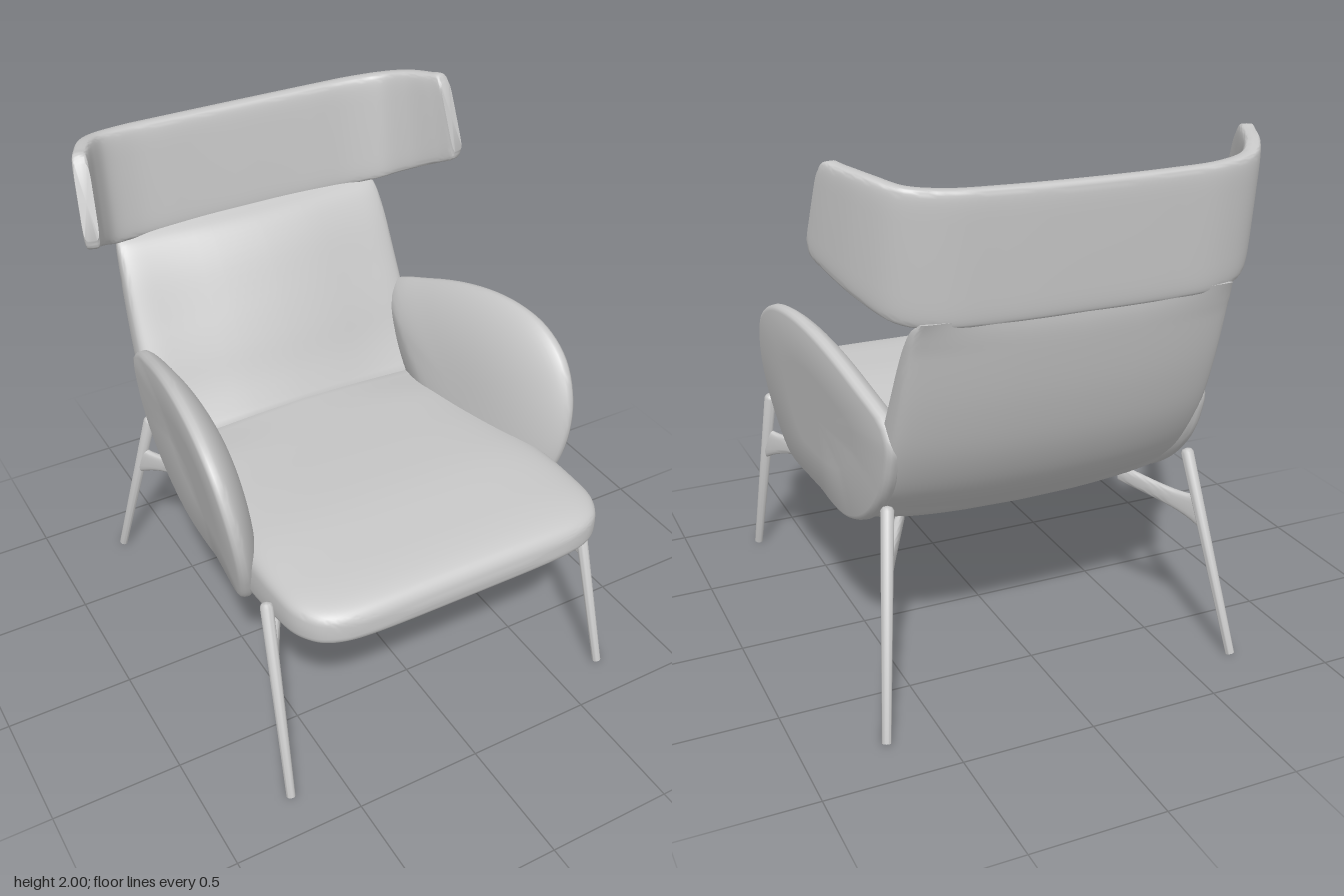
import * as THREE from 'three';
import { toCreasedNormals } from 'three/addons/utils/BufferGeometryUtils.js';

const V = (x, y, z) => new THREE.Vector3(x, y, z);

// Skin a list of equal-length rings, close both ends and face outwards.
function loft(rings, crease = 0.8) {
  const n = rings[0].length;
  const pts = rings.flat();
  const idx = [];
  for (let i = 0; i < rings.length - 1; i++) {
    for (let j = 0; j < n; j++) {
      const a = i * n + j, b = i * n + (j + 1) % n;
      idx.push(a, b, a + n, b, b + n, a + n);
    }
  }
  [0, rings.length - 1].forEach((r, end) => {
    const c = pts.length;
    pts.push(rings[r].reduce((s, p) => s.add(p), V(0, 0, 0)).divideScalar(n));
    for (let j = 0; j < n; j++) {
      const a = r * n + j, b = r * n + (j + 1) % n;
      if (end) idx.push(a, b, c); else idx.push(b, a, c);
    }
  });
  let volume = 0;
  for (let i = 0; i < idx.length; i += 3) {
    volume += pts[idx[i]].dot(pts[idx[i + 1]].clone().cross(pts[idx[i + 2]]));
  }
  if (volume < 0) idx.reverse();
  const g = new THREE.BufferGeometry().setFromPoints(pts);
  g.setIndex(idx);
  return toCreasedNormals(g, crease);
}

// Rounded-rectangle ring around c, spanned by half axes a and b.
function ring(c, a, b, power, n = 40) {
  const se = (v) => Math.sign(v) * Math.pow(Math.abs(v), 2 / power);
  return Array.from({ length: n }, (_, i) => {
    const t = (i / n) * Math.PI * 2;
    return c.clone().addScaledVector(a, se(Math.cos(t))).addScaledVector(b, se(Math.sin(t)));
  });
}

const smooth = (points, count) => new THREE.CatmullRomCurve3(points).getPoints(count);

// Seat and back in one sweep: inner z, y, outer z, y, half width.
// The repeated inner point gives the sharp fold between seat and back.
function bodyGeometry() {
  const s = [
    [0.908, 0.785, 0.908, 0.76, 0.25], [0.9, 0.82, 0.9, 0.73, 0.44], [0.88, 0.845, 0.88, 0.71, 0.53],
    [0.84, 0.862, 0.84, 0.692, 0.59], [0.76, 0.875, 0.76, 0.672, 0.635], [0.62, 0.882, 0.62, 0.638, 0.65],
    [0.42, 0.885, 0.42, 0.585, 0.65], [0.2, 0.87, 0.2, 0.535, 0.635], [0, 0.85, 0, 0.508, 0.625],
    [-0.2, 0.83, -0.2, 0.53, 0.62], [-0.36, 0.815, -0.38, 0.605, 0.615], [-0.36, 0.815, -0.48, 0.68, 0.615],
    [-0.415, 0.93, -0.6, 0.79, 0.615], [-0.48, 1.08, -0.71, 0.96, 0.612], [-0.56, 1.24, -0.79, 1.16, 0.605],
    [-0.66, 1.41, -0.845, 1.36, 0.595], [-0.735, 1.49, -0.865, 1.46, 0.585], [-0.81, 1.515, -0.868, 1.52, 0.57],
  ];
  const steps = (s.length - 1) * 5;
  const inner = smooth(s.map((p) => V(0, p[1], p[0])), steps);
  const outer = smooth(s.map((p) => V(p[4], p[3], p[2])), steps);
  return loft(inner.map((p, i) => {
    const w = outer[i].x;
    const c = V(0, (p.y + outer[i].y) / 2, (p.z + outer[i].z) / 2);
    const b = p.clone().sub(c);
    const back = THREE.MathUtils.smoothstep(i / steps, 0.5, 0.66);
    const shell = THREE.MathUtils.smoothstep(i / steps, 0.2, 0.5);
    const points = ring(c, V(w, 0, 0), b, 4.6, 72);
    // bulge the back cushion towards the sitter and round the shell behind it
    const length = b.length();
    for (const q of points) {
      const side = q.clone().sub(c).dot(b) / (length * length);
      const bow = side > 0
        ? -Math.min(0.05, length * 0.4) * back * THREE.MathUtils.smoothstep(Math.abs(q.x), 0, 0.5)
        : Math.min(0.035, length * 0.4) * shell * (q.x / w) ** 2;
      q.addScaledVector(b, (bow * Math.abs(side)) / length);
    }
    return points;
  }), 0.8);
}

// Wrap-around headrest: lower edge and upper edge, mirrored in x
function headrestGeometry() {
  const low = [[0, 1.488, -0.875], [0.3, 1.488, -0.87], [0.5, 1.493, -0.853], [0.64, 1.515, -0.795],
    [0.73, 1.575, -0.68], [0.79, 1.64, -0.55], [0.812, 1.675, -0.485], [0.815, 1.71, -0.475]];
  const high = [[0, 1.935, -0.91], [0.3, 1.937, -0.904], [0.5, 1.942, -0.889], [0.64, 1.955, -0.838],
    [0.72, 1.978, -0.745], [0.77, 1.992, -0.645], [0.792, 1.997, -0.59], [0.797, 1.97, -0.565]];
  const mirror = (h) => smooth([
    ...h.slice(1).reverse().map((p) => V(-p[0], p[1], p[2])), ...h.map((p) => V(...p)),
  ], 84);
  const a = mirror(low), b = mirror(high), last = a.length - 1;
  return loft(a.map((p, i) => {
    const t = a[Math.min(i + 1, last)].clone().sub(a[Math.max(i - 1, 0)]);
    const inward = V(-t.z, 0, t.x).normalize();
    if (inward.dot(V(-p.x, 0, -p.z)) < 0) inward.negate();
    const thick = 0.037 - 0.008 * Math.abs(i / last - 0.5) * 2;
    const c = p.clone().add(b[i]).multiplyScalar(0.5).addScaledVector(inward, thick);
    return ring(c, inward.multiplyScalar(thick), b[i].clone().sub(p).multiplyScalar(0.5), 6);
  }));
}

// Armrest: flat leaning outer face, rounded rim, domed inner face
function armGeometry(side) {
  const outline = new THREE.CatmullRomCurve3([
    [-0.655, 1.06], [-0.4, 1.19], [-0.12, 1.28], [0.1, 1.305], [0.27, 1.28], [0.4, 1.2], [0.48, 1.06],
    [0.5, 0.9], [0.465, 0.73], [0.39, 0.6], [0.2, 0.56], [0, 0.545], [-0.2, 0.57], [-0.4, 0.66],
    [-0.56, 0.8], [-0.64, 0.94],
  ].map(([z, y]) => V(0, y, z)), true).getPoints(80).slice(0, 80);
  const steps = [[0.02, 0], [0.5, 0], [0.95, 0], [0.98, 0.006], [0.995, 0.018], [1, 0.035]];
  for (let i = 0; i <= 16; i++) {
    const r = 0.995 - 0.975 * Math.pow(i / 16, 1.5);
    steps.push([r, 0.035 + 0.115 * Math.pow(1 - Math.pow(r, 2.8), 0.65)]);
  }
  return loft(steps.map(([r, depth]) => outline.map((p) => {
    const y = 0.9 + (p.y - 0.9) * r, z = p.z * r;
    const x = Math.max(0.738 + 0.12 * (z - 0.3) + 0.15 * (y - 1.15), 0.625);
    return V(side * (x - depth), y, z);
  })), 1.2);
}

// Tapered round leg between two points, with a domed top
function legGeometry(foot, top) {
  const dir = top.clone().sub(foot), h = dir.length();
  const profile = [[0, 0], [0.017, 0], [0.024, h - 0.016], [0.017, h - 0.005], [0, h]];
  const g = new THREE.LatheGeometry(profile.map((p) => new THREE.Vector2(...p)), 20);
  g.applyQuaternion(new THREE.Quaternion().setFromUnitVectors(V(0, 1, 0), dir.normalize()));
  return toCreasedNormals(g.translate(foot.x, foot.y, foot.z), 0.9);
}

// Flat bracket that flares where it meets the leg
function bracketGeometry(from, to) {
  const dir = to.clone().sub(from);
  const across = V(-dir.z, 0, dir.x).normalize().multiplyScalar(0.016);
  return loft(Array.from({ length: 13 }, (_, i) => {
    const t = i / 12;
    const h = 0.033 + 0.035 * Math.pow(1 - t, 5);
    return ring(from.clone().addScaledVector(dir, t), across, V(0, h, 0), 3, 20);
  }));
}

export function createModel() {
  const model = new THREE.Group();
  model.name = 'loungeChair';
  const grey = new THREE.MeshStandardMaterial({ color: 0xc8c8c8 });
  grey.name = 'light grey';
  const add = (name, geometry) => {
    const mesh = new THREE.Mesh(geometry, grey);
    mesh.name = name;
    model.add(mesh);
  };

  add('seatAndBack', bodyGeometry());
  add('headrest', headrestGeometry());
  for (const [label, s] of [['left', 1], ['right', -1]]) {
    add(label + 'Armrest', armGeometry(s));
    add(label + 'FrontLeg', legGeometry(V(s * 0.703, 0, 0.835), V(s * 0.668, 0.775, 0.62)));
    add(label + 'RearLeg', legGeometry(V(s * 0.703, 0, -0.8), V(s * 0.598, 0.79, -0.578)));
    add(label + 'FrontBracket', bracketGeometry(V(s * 0.678, 0.535, 0.685), V(s * 0.49, 0.59, 0.35)));
    add(label + 'RearBracket', bracketGeometry(V(s * 0.633, 0.55, -0.645), V(s * 0.46, 0.61, -0.33)));
  }
  return model;
}
